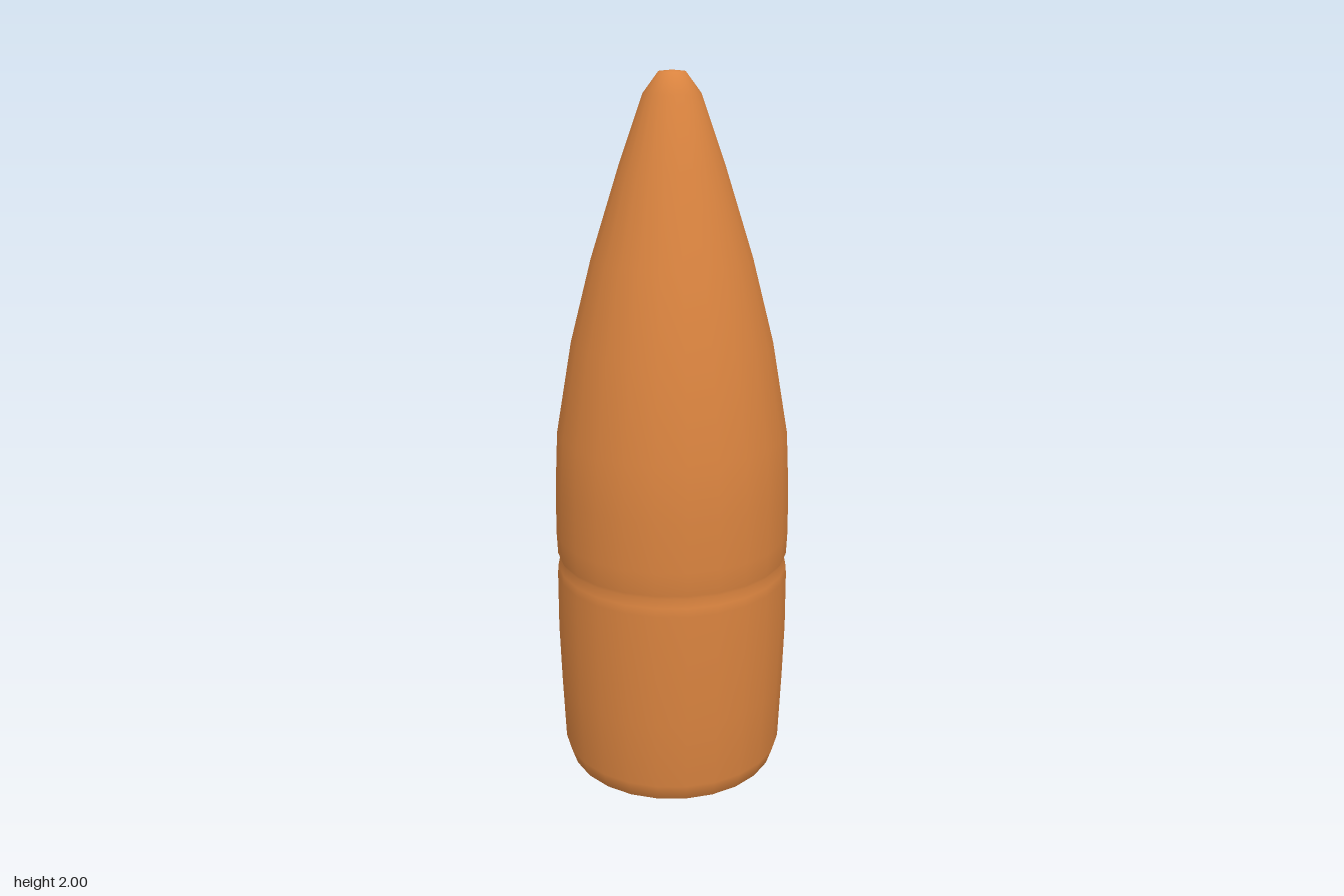
import * as THREE from 'three';

const SIDES = 24;

// Turns a list of [radius, height] points into a smooth round part.
function turned(name, profile, material) {
  const points = profile.map(([r, y]) => new THREE.Vector2(r, y));
  const mesh = new THREE.Mesh(new THREE.LatheGeometry(points, SIDES), material);
  mesh.name = name;
  return mesh;
}

export function createModel() {
  const copper = new THREE.MeshStandardMaterial({ color: 0xd9833f });
  const lead = new THREE.MeshStandardMaterial({ color: 0xa4abb2 });
  const group = new THREE.Group();
  group.name = 'bullet';

  // Jacket: rolled base lip, body, crimp groove and pointed nose
  group.add(turned('jacket', [
    [0.288, 0.03], [0.295, 0.004], [0.305, 0], [0.322, 0.05],
    [0.33, 0.25], [0.335, 0.42], [0.334, 0.59], [0.332, 0.615], [0.325, 0.64],
    [0.332, 0.652], [0.335, 0.72], [0.333, 0.86], [0.325, 1.02],
    [0.28, 1.28], [0.221, 1.51], [0.145, 1.75], [0.078, 1.94],
    [0.036, 1.996], [0, 2],
  ], copper));

  // Recessed base with a rounded hole in the middle
  group.add(turned('basePlate', [
    [0.075, 0.085], [0.08, 0.055], [0.092, 0.036], [0.115, 0.03], [0.288, 0.03],
  ], copper));

  // Core seen through the hole
  group.add(turned('core', [[0, 0.07], [0.079, 0.07]], lead));

  return group;
}
